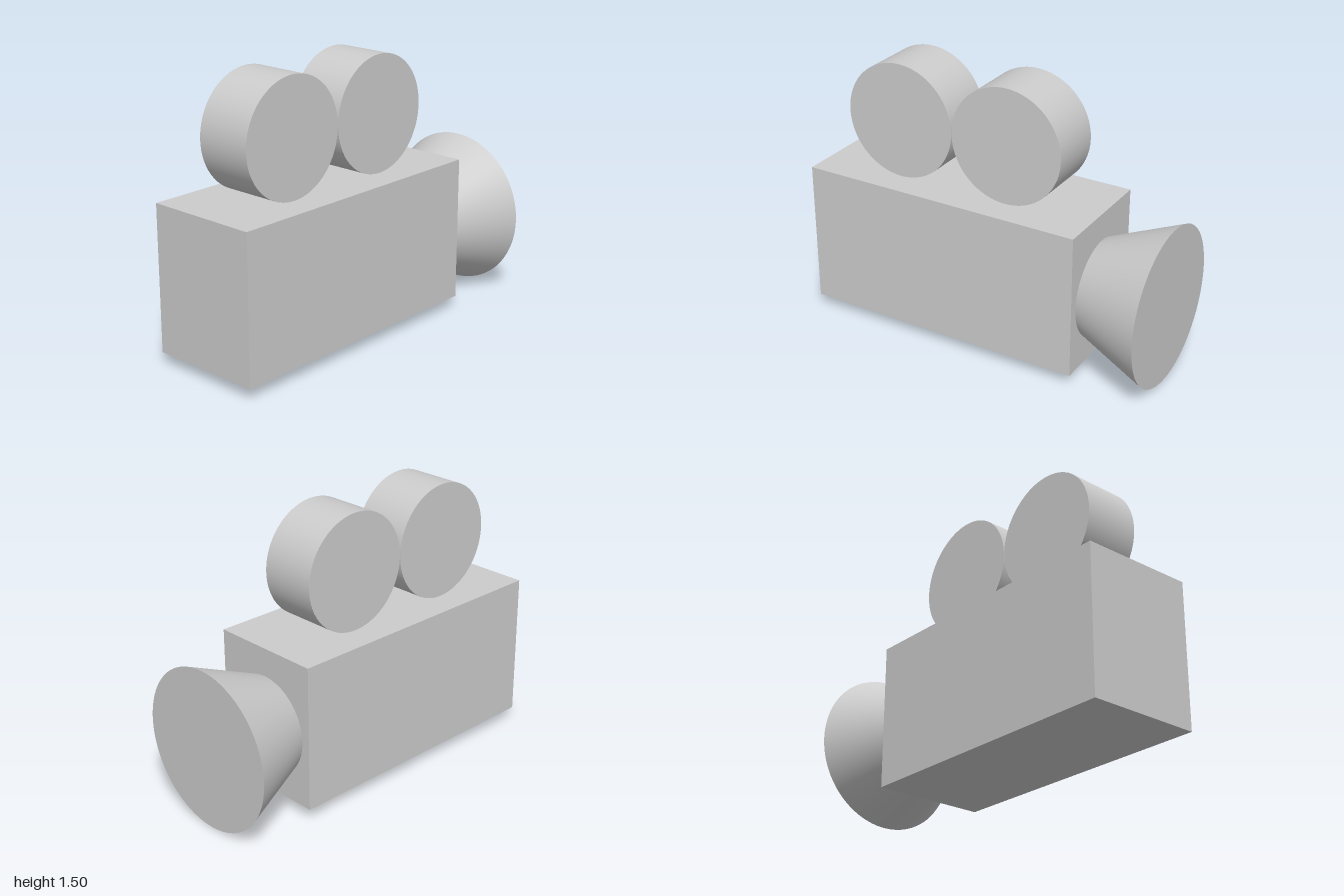
import * as THREE from 'three';

export function createModel() {
  const group = new THREE.Group();
  const material = new THREE.MeshStandardMaterial({ color: 0xcccccc });

  const add = (name, geometry, x, y, z = 0) => {
    const mesh = new THREE.Mesh(geometry, material);
    mesh.name = name;
    mesh.position.set(x, y, z);
    group.add(mesh);
  };

  // Camera body
  add('body', new THREE.BoxGeometry(1.605, 0.8, 0.64), -0.1975, 0.465);

  // Two film reels standing on the body, touching each other
  const reelRadius = 0.32;
  const reel = new THREE.CylinderGeometry(reelRadius, reelRadius, 0.32, 96).rotateX(Math.PI / 2);
  add('rearReel', reel, -0.52, 1.185);
  add('frontReel', reel, 0.123, 1.185);

  // Flared lens hood, slightly sunk into the body and widening towards +x
  const hood = new THREE.CylinderGeometry(0.437, 0.264, 0.415, 96).rotateZ(-Math.PI / 2);
  add('lensHood', hood, 0.7925, 0.437);

  return group;
}
